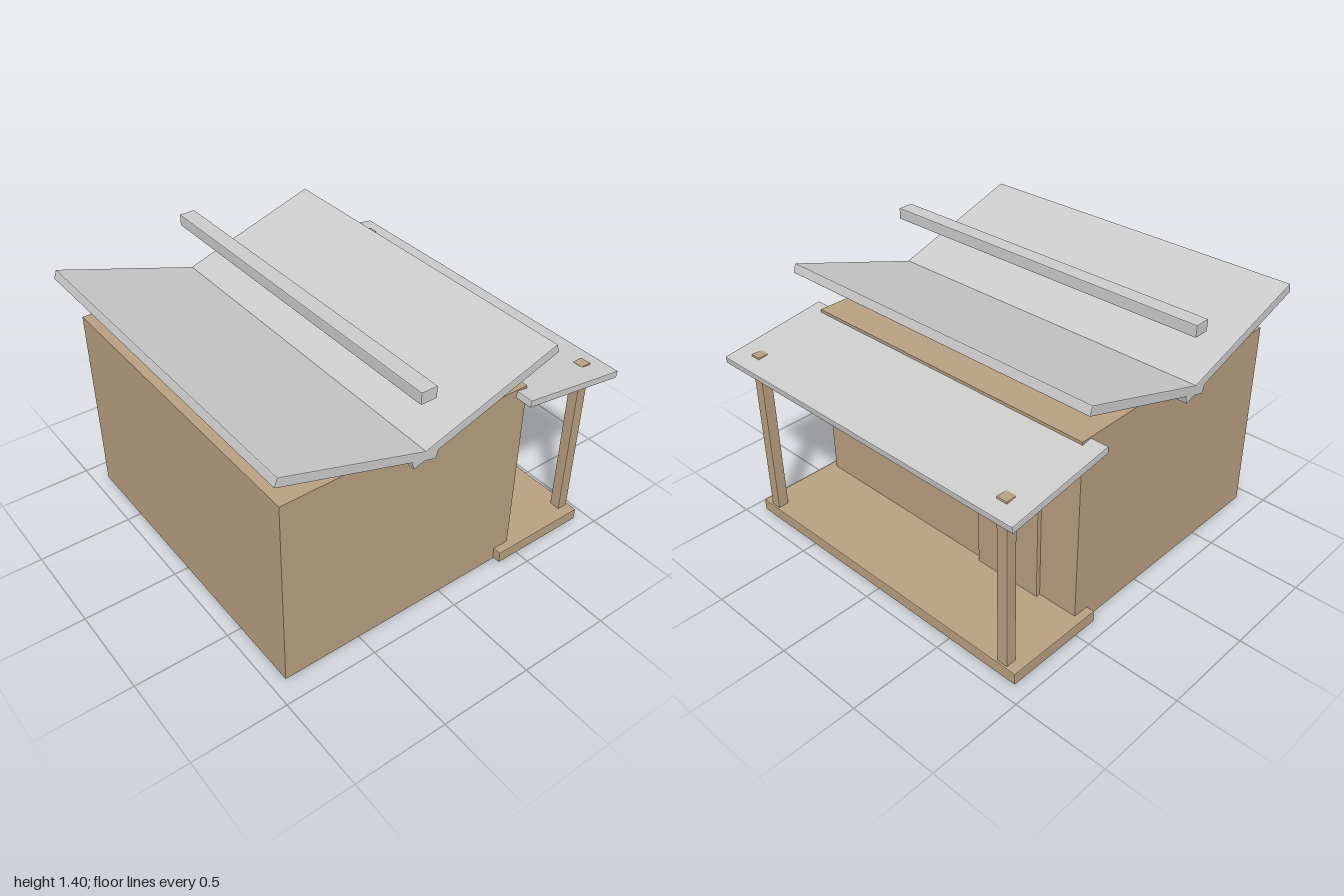
import * as THREE from 'three';
import { RoundedBoxGeometry } from 'three/addons/geometries/RoundedBoxGeometry.js';

const grey = new THREE.MeshStandardMaterial({ color: 0xcccccc, flatShading: true });
const wood = new THREE.MeshStandardMaterial({ color: 0xb89f80, flatShading: true });
const glass = new THREE.MeshStandardMaterial({ color: 0xadc8d0, flatShading: true });

// Box with slightly bevelled edges, placed by its centre
function block(name, material, size, position, bevel = 0.005) {
  const geometry = bevel > 0
    ? new RoundedBoxGeometry(...size, 1, bevel)
    : new THREE.BoxGeometry(...size);
  const mesh = new THREE.Mesh(geometry, material);
  mesh.name = name;
  mesh.position.set(...position);
  return mesh;
}

export function createModel() {
  const house = new THREE.Group();
  house.name = 'house';
  const roofWidth = 1.943;
  const valleyZ = 0.23;

  // Main body
  house.add(block('walls', wood, [1.757, 1.065, 1.386], [0, 0.5325, 0.23], 0));

  // Two roof slabs crossing in a valley
  for (const side of [1, -1]) {
    const slab = block(side > 0 ? 'frontRoofSlab' : 'backRoofSlab', grey,
      [roofWidth, 0.05, 0.874], [0, 1.16, valleyZ + side * 0.347]);
    slab.rotation.x = -side * THREE.MathUtils.degToRad(17.9);
    house.add(slab);
  }

  // Beam above the valley
  house.add(block('ridgeBeam', grey, [roofWidth, 0.063, 0.087], [0, 1.37, valleyZ]));

  // Porch: deck, sloping roof and posts that just pierce the roof
  house.add(block('porchDeck', wood, [1.846, 0.065, 0.553], [0, 0.0375, -0.649]));
  const porchRoof = block('porchRoof', grey, [roofWidth, 0.038, 0.602], [0, 0.996, -0.698]);
  porchRoof.rotation.x = -THREE.MathUtils.degToRad(8.2);
  house.add(porchRoof);
  for (const side of [1, -1]) {
    house.add(block(side > 0 ? 'leftPorchPost' : 'rightPorchPost', wood,
      [0.06, 0.93, 0.06], [side * 0.835, 0.53, -0.885]));
  }

  // Door and window on the porch side
  house.add(block('door', wood, [0.39, 0.815, 0.044], [-0.462, 0.4725, -0.465]));
  house.add(block('window', glass, [0.325, 0.32, 0.044], [0.41, 0.65, -0.465]));

  return house;
}
